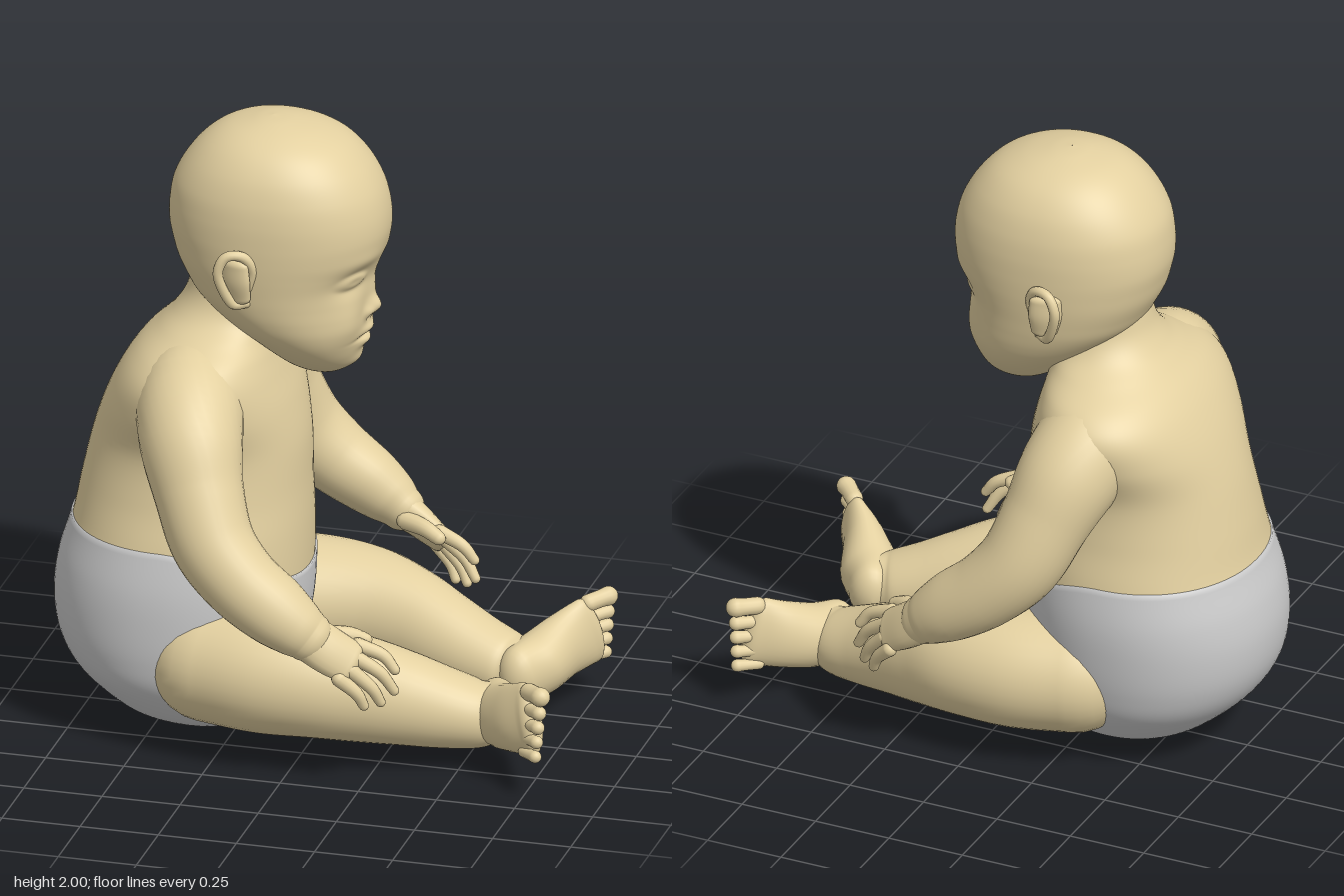
import * as THREE from 'three';

const V = (x, y, z) => new THREE.Vector3(x, y, z);
const skin = new THREE.MeshStandardMaterial({ color: 0xe3d0a0 });
const cloth = new THREE.MeshStandardMaterial({ color: 0xcccccc });
const spline = (pts) => new THREE.CatmullRomCurve3(pts, false, 'catmullrom');
const bell = (a, b) => Math.exp(-a * a - b * b);
const pad = (a, b) => Math.exp(-((a * a + b * b) ** 2));

// Smooth closed surface: fn(angle, v) gives a point, v running 0..1 along the part
function surface(nu, nv, fn) {
  const pos = [], idx = [];
  for (let j = 0; j <= nv; j++)
    for (let i = 0; i < nu; i++) pos.push(...fn((i / nu) * Math.PI * 2, j / nv).toArray());
  for (let j = 0; j < nv; j++)
    for (let i = 0; i < nu; i++) {
      const a = j * nu + i, b = j * nu + ((i + 1) % nu);
      idx.push(a, b, a + nu, b, b + nu, a + nu);
    }
  const g = new THREE.BufferGeometry();
  g.setAttribute('position', new THREE.Float32BufferAttribute(pos, 3));
  g.setIndex(idx);
  g.computeVertexNormals();
  return g;
}

function part(name, geometry, material = skin) {
  const m = new THREE.Mesh(geometry, material);
  m.name = name;
  return m;
}

// Round-ended limb through points [x, y, z, radiusA, radiusB]; radiusB lies along ref
function limb(pts, s = 1, ref = [0, 1, 0], nu = 20, steps = 24) {
  const path = spline(pts.map((p) => V(p[0], p[1], p[2] * s)));
  const size = spline(pts.map((p) => V(p[3], p[4] ?? p[3], 0)));
  const up = V(ref[0], ref[1], ref[2] * s);
  const cap = 7, total = steps + 2 * cap;
  return surface(nu, total, (a, v) => {
    const k = Math.round(v * total);
    const t = THREE.MathUtils.clamp((k - cap) / steps, 0, 1);
    const p = path.getPoint(t), r = size.getPoint(t), T = path.getTangent(t);
    const A = up.clone().cross(T).normalize(), B = T.clone().cross(A);
    const over = k < cap ? k - cap : Math.max(0, k - cap - steps);
    const e = (over / cap) * Math.PI / 2;
    const f = Math.cos(e);
    return p.addScaledVector(T, Math.sin(e) * Math.min(r.x, r.y))
      .addScaledVector(A, Math.cos(a) * r.x * f).addScaledVector(B, Math.sin(a) * r.y * f);
  });
}

// Stack of level sections [y, xBack, xFront, halfWidth]; returns point(angle, t)
function stack(rows, zAt, power) {
  const mid = spline(rows.map((r) => V((r[1] + r[2]) / 2, r[0], 0)));
  const half = spline(rows.map((r) => V((r[2] - r[1]) / 2, r[3], 0)));
  const sq = (n) => Math.sign(n) * Math.abs(n) ** (2 / power);
  return (a, t, out = 0) => {
    const m = mid.getPoint(t), h = half.getPoint(t);
    return V(m.x + (h.x + out) * sq(Math.cos(a)), m.y, zAt(m.y) - (h.y + out) * sq(Math.sin(a)));
  };
}

const bodyRows = [
  [0, -.351, -.349, .001], [.012, -.48, -.24, .12], [.05, -.58, -.17, .22], [.1, -.66, -.13, .29],
  [.2, -.765, -.1, .365], [.3, -.82, -.07, .395], [.42, -.837, -.05, .408], [.54, -.823, -.045, .408],
  [.67, -.785, -.045, .388], [.8, -.76, -.05, .36], [.95, -.725, -.055, .35], [1.08, -.68, -.08, .395],
  [1.18, -.63, -.11, .41], [1.25, -.58, -.13, .365], [1.31, -.52, -.14, .265], [1.36, -.475, -.13, .195],
  [1.42, -.44, -.1, .165], [1.5, -.42, -.08, .16],
];
const headRows = [
  [1.17, -.001, .001, .001], [1.18, -.06, .045, .055], [1.21, -.12, .085, .112], [1.25, -.17, .11, .162],
  [1.3, -.23, .125, .208], [1.35, -.3, .135, .24], [1.4, -.36, .138, .259], [1.45, -.41, .142, .27],
  [1.5, -.44, .15, .277], [1.55, -.465, .168, .283], [1.6, -.48, .186, .287], [1.66, -.492, .198, .289],
  [1.73, -.49, .193, .287], [1.8, -.475, .172, .276], [1.87, -.435, .13, .25], [1.93, -.38, .07, .205],
  [1.97, -.315, -.01, .145], [1.993, -.23, -.1, .07], [2, -.171, -.169, .001],
];
const headZ = -.036;

// Face relief: forward displacement at height y and sideways distance w
function face(y, w) {
  const c = Math.abs(w), e = c - .125;
  const nose = .034 * bell((y - 1.4) / .03, w / .032) + .01 * bell((y - 1.455) / .045, w / .035)
    + .012 * bell((y - 1.388) / .018, (c - .04) / .018) - .008 * bell((y - 1.366) / .01, (c - .02) / .012);
  const eyes = -.024 * bell((y - 1.522) / .045, e / .07) + .018 * pad((y - 1.522) / .024, e / .054)
    + .006 * bell((y - 1.59) / .03, e / .08);
  const mouth = .016 * bell((y - 1.326) / .017, w / .05) + .016 * bell((y - 1.284) / .016, w / .045)
    - .012 * bell((y - 1.306) / .007, w / .075);
  const cheeksAndChin = .014 * bell((y - 1.215) / .03, w / .06) + .012 * bell((y - 1.38) / .07, (c - .15) / .06);
  return nose + eyes + mouth + cheeksAndChin;
}

function head() {
  const g = new THREE.Group();
  g.name = 'head';
  const at = stack(headRows, () => headZ, 2.15);
  g.add(part('skullAndFace', surface(180, 170, (a, v) => {
    const p = at(a, v);
    if (Math.cos(a) > 0) p.x += face(p.y, p.z - headZ) * Math.min(1, Math.cos(a) * 2);
    return p;
  })));
  for (const s of [1, -1]) {
    const ear = new THREE.Group();
    ear.name = s > 0 ? 'rightEar' : 'leftEar';
    const rim = [[-.175, 1.53, .272], [-.16, 1.59, .28], [-.185, 1.638, .298], [-.235, 1.64, .315],
      [-.26, 1.59, .32], [-.248, 1.53, .308], [-.22, 1.475, .288], [-.185, 1.475, .268]];
    ear.add(part('earRim', limb(rim.map((p) => [...p, .016]), s, [0, 0, 1], 12, 36)));
    ear.add(part('earBowl', limb([[-.205, 1.495, .275, .042, .022], [-.212, 1.55, .285, .052, .024],
      [-.215, 1.605, .288, .05, .022]], s, [-.4, 0, 1])));
    ear.position.z = headZ;
    g.add(ear);
  }
  return g;
}

function arm(s) {
  const g = new THREE.Group();
  g.name = s > 0 ? 'rightArm' : 'leftArm';
  // Starts inside the chest so that the shoulder slopes out of the neck
  g.add(part('shoulderAndArm', limb([
    [-.37, 1.185, .1, .14, .13], [-.355, 1.135, .25, .17, .165], [-.32, 1.045, .37, .165, .16],
    [-.275, .92, .445, .142, .14],
    [-.215, .78, .5, .133, .13], [-.12, .675, .53, .12, .12], [-.01, .595, .54, .105, .112],
    [.06, .545, .54, .088, .095], [.1, .515, .535, .07, .08]], s, [-.6, -.5, .6], 32, 56)));
  // Hand: a flat palm, four fingers fanned across it and a thumb
  g.add(part('palm', limb([[.09, .52, .535, .06, .075], [.16, .475, .53, .045, .075],
    [.225, .435, .515, .032, .07]], s, [-.06, -.08, .09])));
  const fingers = [
    [[.24, .475, .468], [.315, .445, .455], [.355, .4, .455]],
    [[.245, .445, .5], [.315, .395, .48], [.355, .335, .465]],
    [[.235, .415, .53], [.295, .355, .51], [.32, .305, .495]],
    [[.205, .395, .56], [.255, .345, .54], [.275, .3, .525]],
    [[.13, .5, .475], [.2, .495, .44], [.25, .475, .42]],
  ];
  fingers.forEach((f, i) => g.add(part(i < 4 ? 'finger' : 'thumb',
    limb(f.map((p, j) => [...p, (i < 4 ? .024 : .03) - j * .004]), s, [0, 0, 1], 12, 10))));
  return g;
}

function leg(s) {
  const g = new THREE.Group();
  g.name = s > 0 ? 'rightLeg' : 'leftLeg';
  g.add(part('thighAndShin', limb([
    [-.28, .29, .275, .2, .193], [-.1, .287, .315, .195, .192], [.06, .277, .318, .175, .18],
    [.2, .25, .285, .148, .168], [.32, .217, .243, .135, .15], [.43, .187, .21, .126, .13],
    [.53, .167, .185, .115, .11], [.585, .165, .165, .088, .098]], s, [0, 1, 0], 36, 48)));
  g.add(part('foot', limb([[.592, .165, .13, .072, .1], [.632, .178, .205, .092, .102],
    [.69, .21, .288, .07, .108], [.755, .24, .352, .04, .115]], s, [0, 1, 0], 28)));
  for (let i = 0; i < 5; i++) {
    const y = .335 - i * .047 - (i ? .006 : 0), r = i ? .024 - i * .001 : .031, x = -i * .003, z = i * .004;
    g.add(part('toe', limb([[.755 + x, y - .005, .352 + z, r * .9], [.785 + x, y, .383 + z, r * .9],
      [.805 + x, y + .003, .402 + z, r]], s, [0, 1, 0], 14, 8)));
  }
  // The left leg is turned out a little more
  if (s < 0) g.rotation.y = .04;
  return g;
}

export function createModel() {
  const model = new THREE.Group();
  model.name = 'sittingBaby';
  const body = stack(bodyRows, (y) => .02 - .035 * y, 2.1);
  const last = bodyRows.length - 1;
  model.add(part('torso', surface(80, 80, (a, v) => body(a, THREE.MathUtils.lerp(5 / last, 1, v)))));
  // Diaper: follows the body, its waistline dipping at the front and its edge turned in
  model.add(part('diaper', surface(80, 62, (a, v) => {
    const waist = (8 - 1.1 * Math.max(0, Math.cos(a)) ** 1.6) / last;
    const k = Math.round(v * 62);
    return body(a, waist * Math.min(1, k / 60), k > 60 ? .006 - (k - 60) * .008 : .006 * Math.min(1, k / 10));
  }), cloth));
  model.add(head());
  for (const s of [1, -1]) model.add(arm(s), leg(s));
  return model;
}
